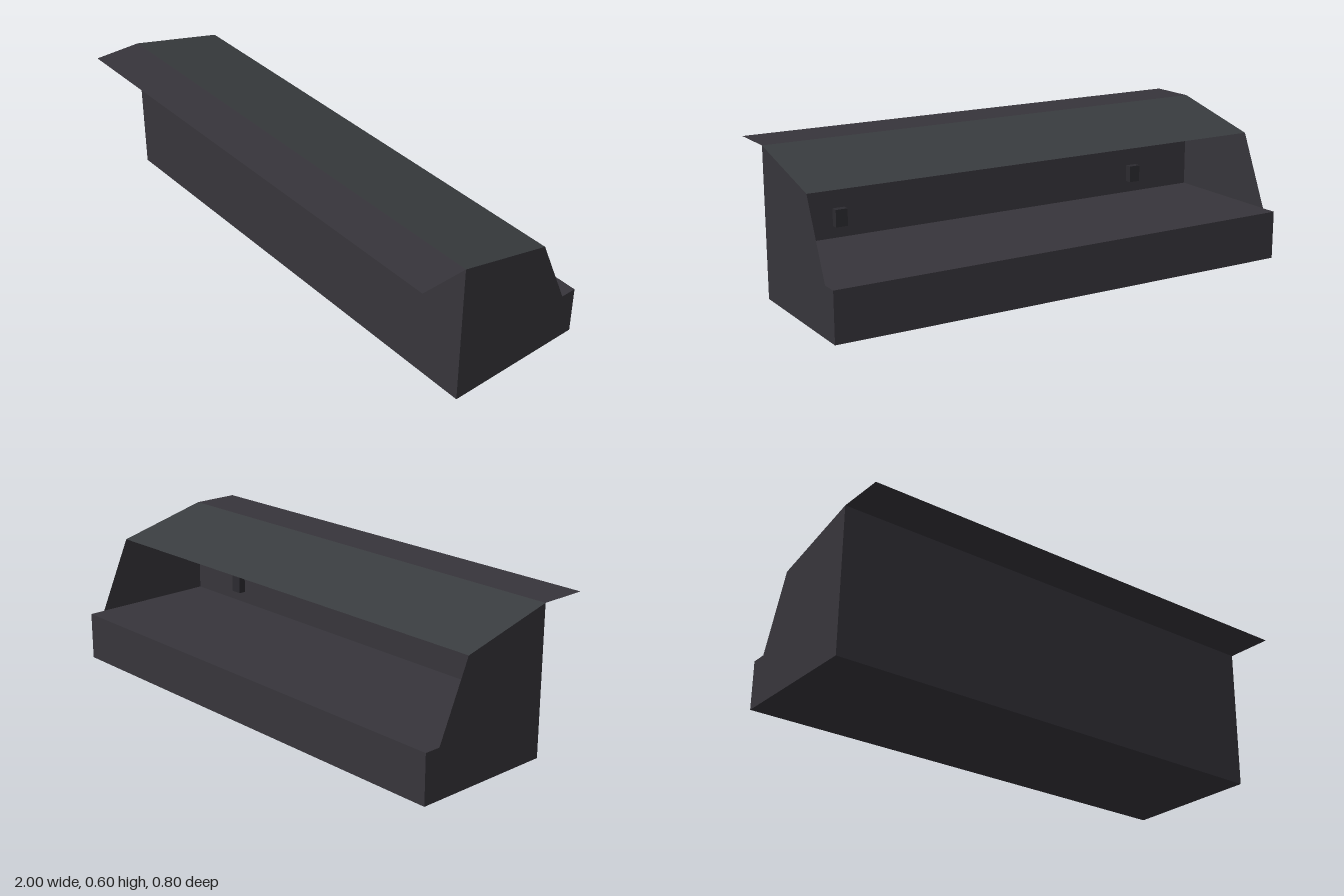
import * as THREE from 'three';

export function createModel() {
  const model = new THREE.Group();
  const material = (name, color) =>
    Object.assign(new THREE.MeshStandardMaterial({ color, side: THREE.DoubleSide }), { name });
  const bodyPaint = material('charcoal', 0x37353b);
  const roofPaint = material('slate grey', 0x393c3f);
  const fittingPaint = material('dark fitting', 0x2c2b30);

  const add = (name, geometry, mat, x = 0, y = 0, z = 0) => {
    const mesh = new THREE.Mesh(geometry, mat);
    mesh.name = name;
    mesh.position.set(x, y, z);
    model.add(mesh);
    return mesh;
  };

  // Full-width flat sheet joining two (z, y) points of the section
  const sheet = (name, mat, [z0, y0], [z1, y1]) => {
    const geometry = new THREE.PlaneGeometry(2, Math.hypot(z1 - z0, y1 - y0));
    geometry.rotateX(Math.atan2(z1 - z0, y1 - y0));
    return add(name, geometry, mat, 0, (y0 + y1) / 2, (z0 + z1) / 2);
  };

  // Solid counter block
  add('counter', new THREE.BoxGeometry(2, 0.2, 0.6), bodyPaint, 0, 0.1, -0.1);

  // Front wall, sloping roof and flat overhang
  sheet('frontWall', bodyPaint, [0.2, 0.2], [0.2, 0.6]);
  sheet('roof', roofPaint, [0.2, 0.6], [-0.2, 0.5]);
  sheet('overhang', bodyPaint, [0.4, 0.6], [0.2, 0.6]);

  // End walls above the counter; shape x becomes -z
  const endShape = new THREE.Shape([
    [-0.2, 0.2], [0.333, 0.2], [0.2, 0.5], [-0.2, 0.6],
  ].map(([x, y]) => new THREE.Vector2(x, y)));

  for (const side of [-1, 1]) {
    const label = side > 0 ? 'left' : 'right';
    const wall = new THREE.ShapeGeometry(endShape).rotateY(Math.PI / 2);
    add(label + 'EndWall', wall, bodyPaint, side);

    // Small box fixed to the inside of the front wall
    add(label + 'WallBox', new THREE.BoxGeometry(0.05, 0.07, 0.03), fittingPaint,
      side * 0.7, 0.285, 0.184);
  }
  return model;
}
